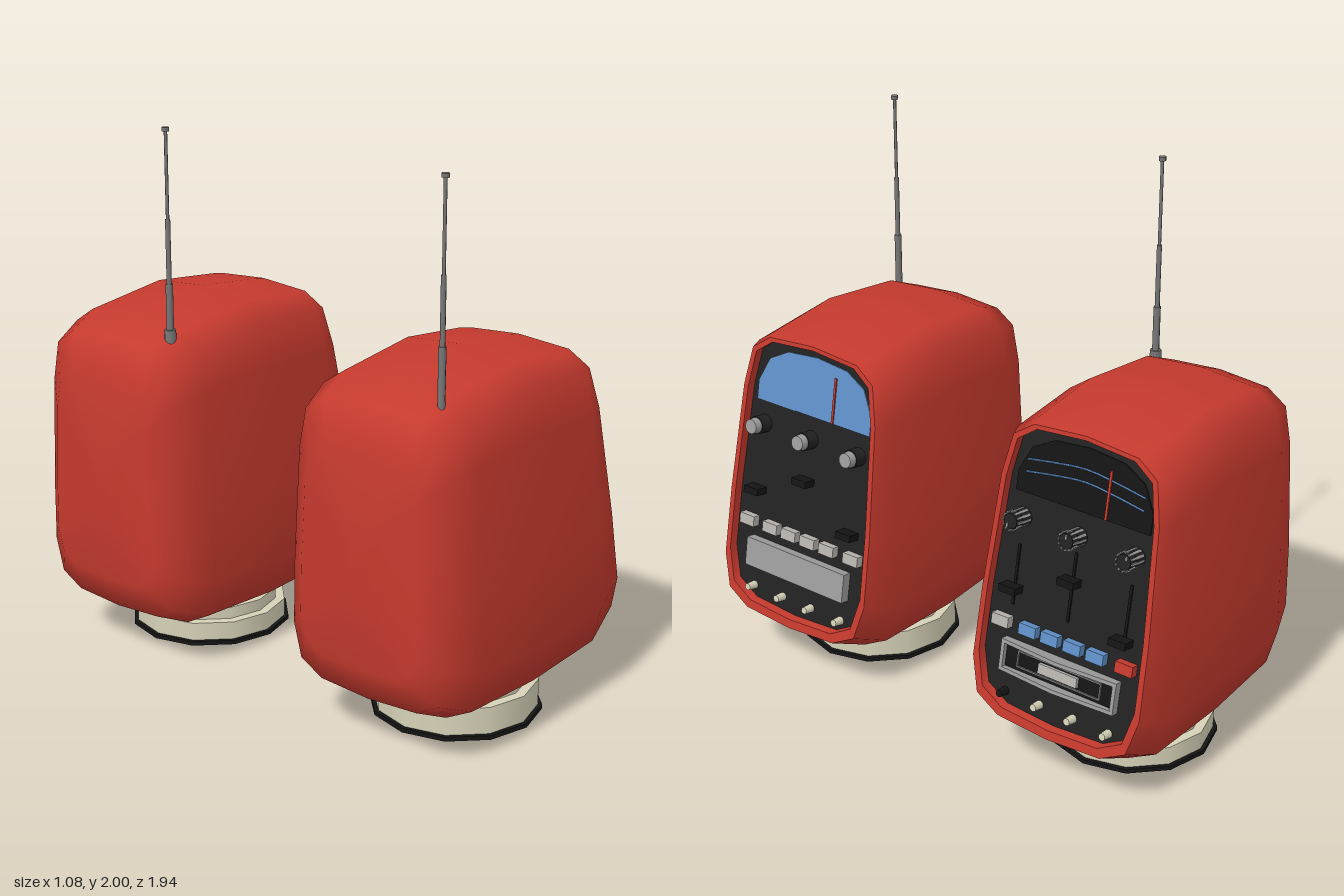
import * as THREE from 'three';

const mat = (color, side = THREE.FrontSide) => new THREE.MeshStandardMaterial({ color, side });
const RED = mat(0xc63a2e), BLACK = mat(0x222222), DARK = mat(0x141414), BLUE = mat(0x6090c8);
const CREAM = mat(0xd6d2b8), METAL = mat(0x777777), GREY = mat(0x9c9c9c), PALE = mat(0xb8b4b0);

const SLOPE = 0.1875, TILT = Math.atan(SLOPE), RECESS = 0.035;
const faceX = (y) => 0.582 - SLOPE * y;

// Half outline of the shell, bottom to top: [width fraction, height fraction]
const HALF = [[0, 0], [0.62, 0.012], [0.9, 0.06], [1, 0.18], [0.985, 0.42], [0.915, 0.8], [0.83, 0.935], [0.6, 0.985], [0, 1]];
const LOOP = [...HALF, ...HALF.slice(1, -1).reverse().map(([w, t]) => [-w, t])];

// One ring: half width, lowest and highest y, and x as a function of y
const ring = (hw, lo, hi, x) => LOOP.map(([w, t]) => {
  const y = lo + (hi - lo) * t;
  return [x(y), y, w * hw];
});

function loft(rings) {
  const n = LOOP.length, index = [];
  for (let i = 0; i < rings.length - 1; i++) {
    for (let j = 0; j < n; j++) {
      const a = i * n + j, b = i * n + (j + 1) % n, c = b + n, d = a + n;
      index.push(a, d, c, a, c, b);
    }
  }
  const g = new THREE.BufferGeometry();
  g.setAttribute('position', new THREE.Float32BufferAttribute(rings.flat(2), 3));
  g.setIndex(index);
  g.computeVertexNormals();
  return g;
}

function add(parent, name, geometry, material, x = 0, y = 0, z = 0) {
  const m = new THREE.Mesh(geometry, material);
  m.name = name;
  m.position.set(x, y, z);
  parent.add(m);
  return m;
}

const box = (w, h, d) => new THREE.BoxGeometry(w, h, d);
const disc = (r0, r1, h, n = 12) => new THREE.CylinderGeometry(r1, r0, h, n);
const peg = (r0, r1, h, n = 12) => disc(r0, r1, h, n).rotateX(Math.PI / 2);

function addShell(unit) {
  const at = (x) => () => x;
  add(unit, 'shell', loft([
    ring(0, 0.71, 0.71, at(-0.54)),
    ring(0.245, 0.33, 1.09, at(-0.54)),
    ring(0.327, 0.2, 1.235, at(-0.48)),
    ring(0.37, 0.14, 1.29, at(-0.35)),
    ring(0.373, 0.12, 1.33, at(0)),
    ring(0.371, 0.14, 1.298, (y) => 0.39 - 0.075 * y),
    ring(0.345, 0.22, 1.29, faceX),
  ]), RED);
  const inner = (depth) => ring(0.323, 0.253, 1.275, (y) => faceX(y) - depth);
  add(unit, 'faceRim', loft([ring(0.345, 0.22, 1.29, faceX), inner(0)]), RED);
  add(unit, 'recessWall', loft([inner(0), inner(RECESS)]), RED);
  add(unit, 'controlPanel', loft([inner(RECESS), ring(0, 0.75, 0.75, (y) => faceX(y) - RECESS)]), BLACK);
}

function addBase(unit, stepped) {
  add(unit, 'footPad', disc(0.308, 0.308, 0.016), DARK, 0.015, 0.008);
  const top = stepped ? 0.085 : 0.115;
  add(unit, 'baseDrum', disc(0.293, 0.293, top - 0.016), CREAM, 0.015, (top + 0.016) / 2);
  add(unit, 'baseNeck', disc(0.258, 0.258, 0.06), CREAM, 0.015, 0.1);
}

function addAntenna(unit, collar) {
  const g = new THREE.Group();
  g.name = 'antenna';
  g.position.set(-0.39, 0, 0.215);
  [[0.013, 1.22, 1.45], [0.009, 1.45, 1.68], [0.006, 1.68, 1.99]].forEach(([r, y0, y1]) =>
    add(g, 'antennaSection', disc(r, r, y1 - y0, 8), METAL, 0, (y0 + y1) / 2));
  add(g, 'antennaTip', disc(0.013, 0.013, 0.014, 8), METAL, 0, 1.993);
  if (collar) add(g, 'antennaCollar', disc(0.022, 0.02, 0.05, 10), METAL, 0, 1.26);
  unit.add(g);
}

function addControls(unit, detailed) {
  // Panel space: x across, y up the slope, z out of the panel
  const p = new THREE.Group();
  p.name = 'controls';
  p.position.x = faceX(0) - RECESS;
  p.rotation.set(-TILT, Math.PI / 2, 0, 'YXZ');
  unit.add(p);
  const k = 1 / Math.cos(TILT);
  const put = (name, geo, m, x, y, z) => add(p, name, geo, m, x, y * k, z);

  // Arched tuning window
  const arch = [[0.27, 1.02], [0.27, 1.09], [0.225, 1.18], [0.14, 1.225], [0, 1.238]];
  const outline = [...arch, ...arch.slice(0, -1).reverse().map(([x, y]) => [-x, y])];
  const shape = new THREE.Shape(outline.map(([x, y]) => new THREE.Vector2(x, y * k)));
  put('tuningWindow', new THREE.ExtrudeGeometry(shape, { depth: 0.004, bevelEnabled: false }), detailed ? DARK : BLUE, 0, 0, 0);
  put('tuningNeedle', box(0.009, 0.17, 0.005), RED, 0.097, 1.105, 0.008);
  if (detailed) {
    for (const y of [1.165, 1.122]) {
      const pts = [[-0.235, -0.03], [-0.12, -0.012], [0, 0], [0.12, -0.012], [0.235, -0.03]];
      const curve = new THREE.CatmullRomCurve3(pts.map(([x, dy]) => new THREE.Vector3(x, dy, 0)));
      put('frequencyScale', new THREE.TubeGeometry(curve, 12, 0.0035, 4), BLUE, 0, y, 0.005);
    }
  }

  // Knobs, sliders
  [-0.228, 0, 0.228].forEach((x, i) => {
    put('knobBase', peg(0.034, 0.034, 0.05, 16), BLACK, x, 0.935, 0.025);
    put('knobCap', peg(0.031, 0.027, 0.035, 16), detailed ? BLACK : GREY, x, 0.935, 0.06);
    for (let j = 0; detailed && j < 12; j++) {
      const a = j * Math.PI / 6;
      const rib = put('knobRib', box(0.005, 0.008, 0.07), GREY, x + Math.cos(a) * 0.032, 0.935 + Math.sin(a) * 0.032, 0.042);
      rib.rotation.z = a;
    }
    if (detailed) put('knobMark', box(0.005, 0.014, 0.004), PALE, x + (i - 1) * 0.01, 0.95 - 0.03 * (i === 0), 0.078);
    put('sliderHandle', box(0.068, 0.026, 0.05), DARK, x, [0.685, 0.78, 0.645][i], 0.027);
    if (detailed) put('sliderSlot', box(0.01, i === 1 ? 0.25 : 0.22, 0.006), DARK, x, i === 1 ? 0.755 : 0.73, 0.002);
  });

  // Push buttons
  [-0.255, -0.14, -0.048, 0.045, 0.138, 0.255].forEach((x, i) => {
    const colour = !detailed || i === 0 ? PALE : i === 5 ? RED : BLUE;
    put('pushButton', box(0.07, 0.04, 0.03), colour, x, 0.56, 0.015);
  });

  // Cassette bay
  if (detailed) {
    put('cassetteBay', box(0.45, 0.1, 0.012), DARK, 0, 0.445, 0.006);
    for (const s of [-1, 1]) {
      const rail = new THREE.BoxGeometry(0.475, 0.014, 0.03, 2);
      const pos = rail.attributes.position;
      for (let i = 0; i < pos.count; i++) {
        if (pos.getZ(i) > 0 && Math.abs(pos.getX(i)) < 0.01) pos.setZ(i, 0.035);
      }
      rail.computeVertexNormals();
      put('bayRail', rail, GREY, 0, 0.445 + s * 0.05, 0.015);
      put('bayEnd', box(0.014, 0.11, 0.03), GREY, s * 0.23, 0.445, 0.015);
      put('slotRail', box(0.34, 0.006, 0.014), METAL, 0, 0.445 + s * 0.028, 0.012);
      put('slotEnd', box(0.006, 0.06, 0.014), METAL, s * 0.17, 0.445, 0.012);
    }
    put('cassetteLabel', box(0.16, 0.036, 0.02), PALE, 0, 0.445, 0.015);
  } else {
    put('cassetteDoor', box(0.48, 0.11, 0.036), GREY, 0, 0.445, 0.018);
  }

  // Small knobs
  [-0.215, -0.07, 0.07, 0.215].forEach((x, i) =>
    put('smallKnob', peg(0.016, 0.013, 0.04, 10), detailed && i === 0 ? DARK : CREAM, x, 0.307, 0.02));
}

function radio(name, z, detailed) {
  const unit = new THREE.Group();
  unit.name = name;
  unit.position.z = z;
  addShell(unit);
  addBase(unit, detailed);
  addAntenna(unit, detailed);
  addControls(unit, detailed);
  return unit;
}

export function createModel() {
  const model = new THREE.Group();
  model.name = 'radioPair';
  model.add(radio('simpleRadio', 0.595, false), radio('detailedRadio', -0.595, true));
  return model;
}
